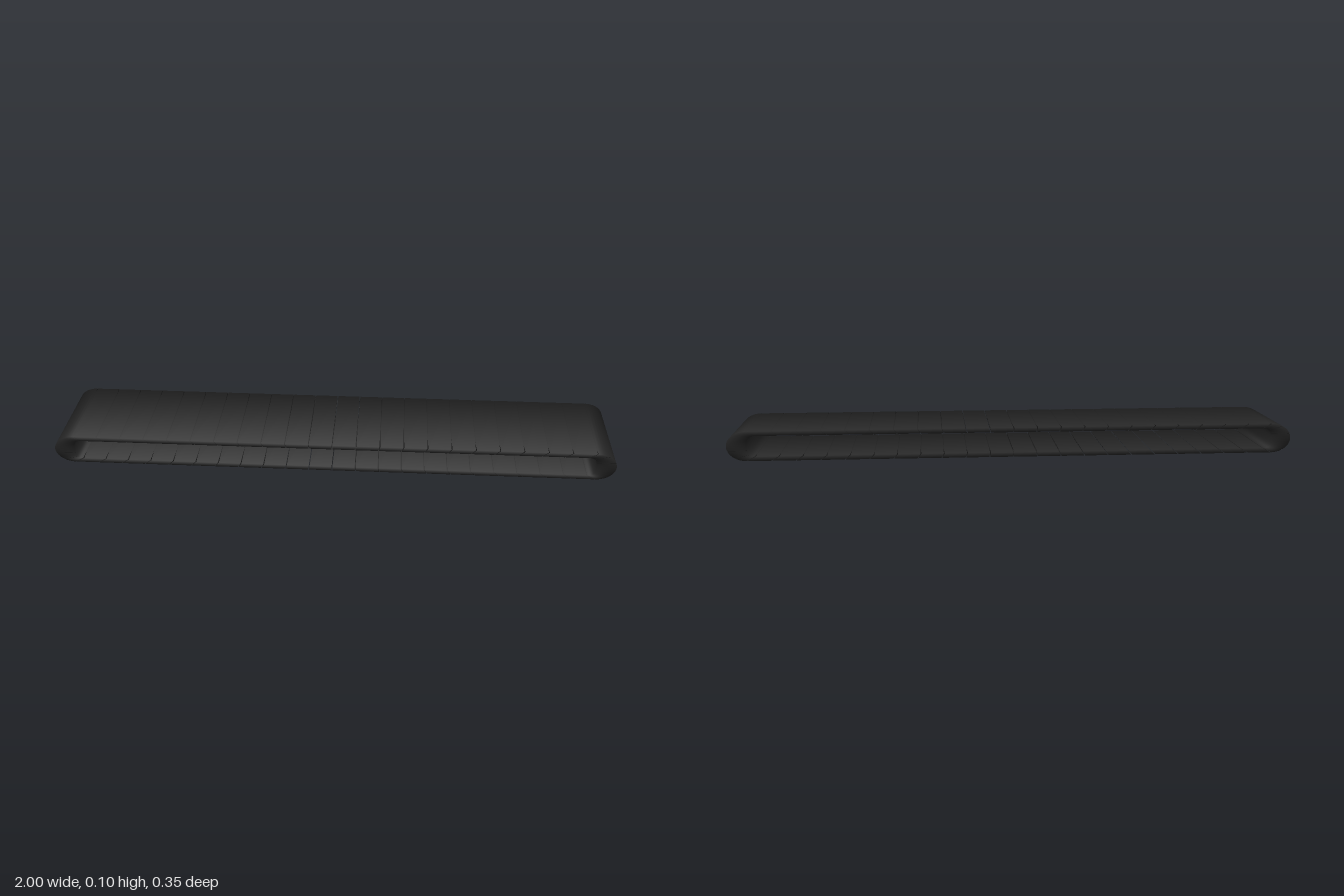
import * as THREE from 'three';

const FLAT = 22;           // slats per straight run
const BEND = 5;            // slats around each end
const HALF = FLAT + BEND;
const MID = 0.0525;        // half of the belt height
const DEPTH = 0.177;       // half of the belt width
const GAP = 0.02;          // share of a slat left open at each side

const pow = (v, p) => Math.sign(v) * Math.abs(v) ** p;

// Outer point, inner point and outward normal at slat position u along the loop
function station(u) {
  if (u >= HALF) return station(u - HALF).map((v) => -v);
  if (u <= FLAT) {
    const t = (u / FLAT) * 2 - 1;
    return [0.93 * t, MID, 0.9 * t, 0.036, 0, 1];
  }
  const a = Math.PI * (0.5 - (u - FLAT) / BEND);
  const c = Math.cos(a), s = Math.sin(a);
  return [0.93 + 0.07 * c, MID * s, 0.9 + 0.03 * pow(c, 0.7), 0.036 * pow(s, 0.7), c, s];
}

// One closed slat, swept through a few stations, with softened normals
function slatGeometry(index) {
  const steps = index % HALF < FLAT ? 1 : 4;
  const pos = [], nor = [], idx = [];
  for (let i = 0; i <= steps; i++) {
    const [ox, oy, ix, iy, nx, ny] = station(index + GAP + (1 - 2 * GAP) * (i / steps));
    // corners: outer front, outer back, inner back, inner front
    for (const [x, y, side, z] of [[ox, oy, 1, 1], [ox, oy, 1, -1], [ix, iy, -1, -1], [ix, iy, -1, 1]]) {
      pos.push(x, y + MID, z * DEPTH);
      const n = new THREE.Vector3(nx * side, ny * side, 0.6 * z).normalize();
      nor.push(n.x, n.y, n.z);
    }
  }
  for (let i = 0; i < steps; i++) {
    for (let k = 0; k < 4; k++) {
      const a = i * 4 + k, b = i * 4 + ((k + 1) % 4);
      idx.push(a, a + 4, b + 4, a, b + 4, b);
    }
  }
  const e = steps * 4;
  idx.push(0, 1, 2, 0, 2, 3, e + 3, e + 2, e + 1, e + 3, e + 1, e);
  const g = new THREE.BufferGeometry();
  g.setAttribute('position', new THREE.Float32BufferAttribute(pos, 3));
  g.setAttribute('normal', new THREE.Float32BufferAttribute(nor, 3));
  g.setIndex(idx);
  return g;
}

export function createModel() {
  const model = new THREE.Group();
  model.name = 'conveyorBelt';
  const rubber = new THREE.MeshStandardMaterial({ color: 0x222222 });

  // Four sections of the loop: two straight runs and two rounded ends
  const sections = [
    ['topRun', 0, FLAT], ['leftEnd', FLAT, BEND],
    ['bottomRun', HALF, FLAT], ['rightEnd', HALF + FLAT, BEND],
  ];
  for (const [name, start, count] of sections) {
    const section = new THREE.Group();
    section.name = name;
    for (let i = 0; i < count; i++) {
      const slat = new THREE.Mesh(slatGeometry(start + i), rubber);
      slat.name = 'slat';
      section.add(slat);
    }
    model.add(section);
  }
  return model;
}
